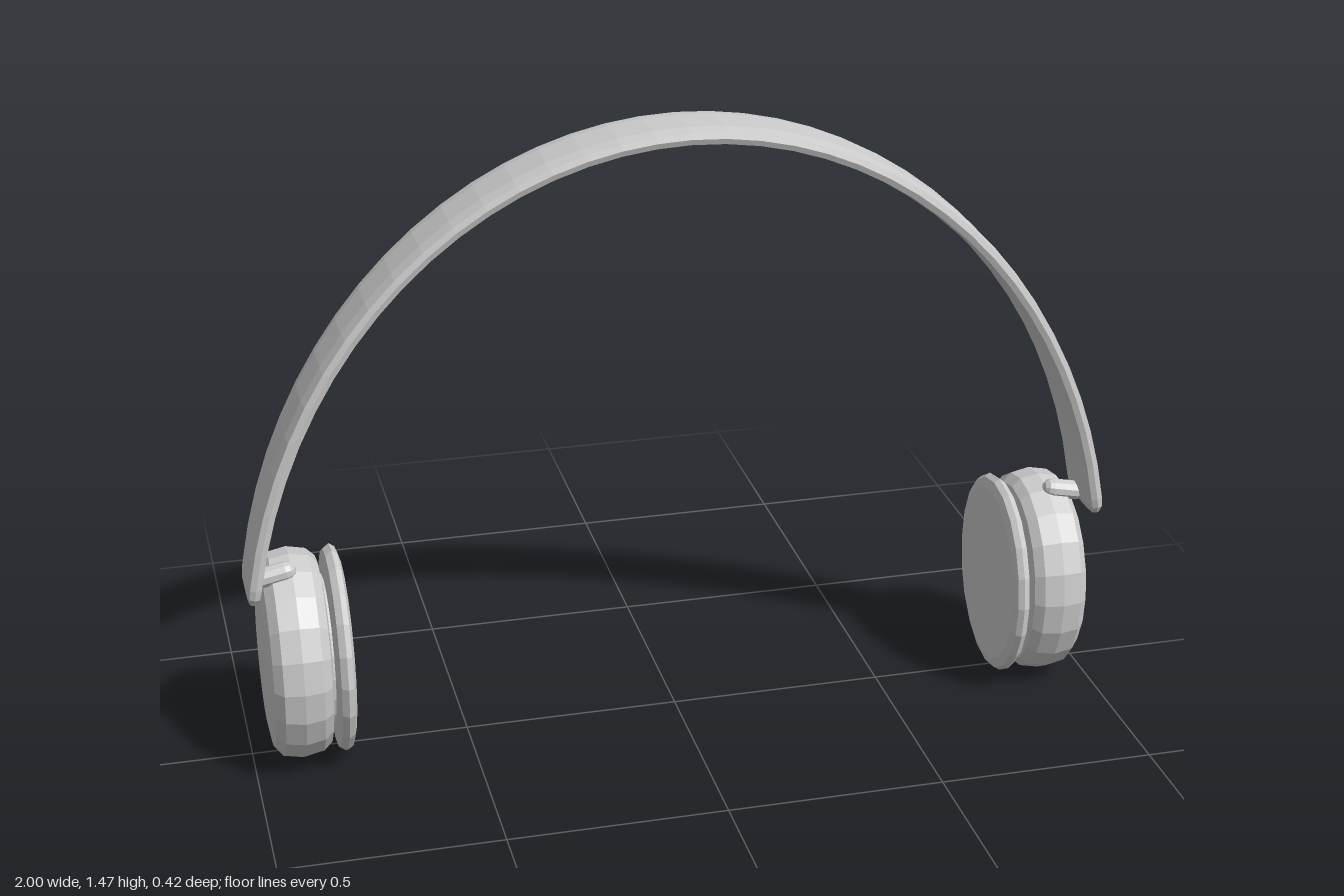
import * as THREE from 'three';

const grey = new THREE.MeshStandardMaterial({ color: 0xcccccc, flatShading: true });
grey.name = 'light grey';

// Headband: a flat rounded section swept along an elliptical arch
function bandGeometry() {
  // [across the band, away from the head]
  const section = [
    [-0.083, 0], [-0.078, 0.013], [-0.045, 0.018], [0.045, 0.018], [0.078, 0.013],
    [0.083, 0], [0.078, -0.013], [0.045, -0.018], [-0.045, -0.018], [-0.078, -0.013],
  ];
  const n = section.length, a = 0.983 / 0.988, b = 1.168, cy = 0.28, cz = 0.075;
  const start = 0.148, end = Math.PI - start, steps = 36;
  const stations = [{ t: start, w: 0.82, h: 0.6 }, { t: start + 0.015, w: 0.96, h: 0.9 }];
  for (let i = 0; i <= steps; i++) {
    stations.push({ t: start + 0.035 + (end - start - 0.07) * i / steps, w: 1, h: 1 });
  }
  stations.push({ t: end - 0.015, w: 0.96, h: 0.9 }, { t: end, w: 0.82, h: 0.6 });

  const pos = [], idx = [];
  for (const { t, w, h } of stations) {
    const out = new THREE.Vector2(Math.cos(t) / a, Math.sin(t) / b).normalize();
    for (const [z, d] of section) {
      pos.push(a * Math.cos(t) + out.x * d * h, cy + b * Math.sin(t) + out.y * d * h, cz + z * w);
    }
  }
  const last = (stations.length - 1) * n;
  for (let i = 0; i < last; i += n) {
    for (let j = 0; j < n; j++) {
      const k = (j + 1) % n;
      idx.push(i + j, i + n + j, i + k, i + k, i + n + j, i + n + k);
    }
  }
  // End caps
  for (let j = 1; j < n - 1; j++) idx.push(0, j, j + 1, last, last + j + 1, last + j);

  const g = new THREE.BufferGeometry();
  g.setAttribute('position', new THREE.Float32BufferAttribute(pos, 3));
  g.setIndex(idx);
  g.computeVertexNormals();
  return g;
}

// Oval disc turned about the x axis; profile is [radius, distance from centre]
function ovalDisc(name, profile, side) {
  const g = new THREE.LatheGeometry(profile.map(([r, x]) => new THREE.Vector2(r, x)), 20);
  g.rotateZ(-side * Math.PI / 2);
  g.scale(1, 1, 0.84);
  g.translate(0, 0.25, 0);
  const mesh = new THREE.Mesh(g, grey);
  mesh.name = name;
  return mesh;
}

export function createModel() {
  const model = new THREE.Group();
  model.name = 'headphones';

  const band = new THREE.Mesh(bandGeometry(), grey);
  band.name = 'headband';
  model.add(band);

  for (const side of [1, -1]) {
    const label = side > 0 ? 'left' : 'right';
    const earpiece = new THREE.Group();
    earpiece.name = label + 'Earpiece';

    // Ear cup with a narrow neck towards the cushion
    earpiece.add(ovalDisc(label + 'Cup', [
      [0, 0.8], [0.17, 0.8], [0.18, 0.82], [0.222, 0.826], [0.241, 0.846],
      [0.25, 0.89], [0.241, 0.935], [0.215, 0.955], [0.17, 0.962], [0, 0.963],
    ], side));

    // Thin ear cushion with a flat inner face
    earpiece.add(ovalDisc(label + 'Cushion', [
      [0, 0.773], [0.215, 0.773], [0.238, 0.78], [0.246, 0.793], [0.235, 0.808], [0.19, 0.815], [0, 0.815],
    ], side));

    // Small hinge peg between band and cup
    const peg = new THREE.Mesh(new THREE.CapsuleGeometry(0.023, 0.06, 3, 10), grey);
    peg.name = label + 'Hinge';
    peg.position.set(side * 0.932, 0.482, 0.06);
    peg.rotation.z = side * (Math.PI / 2 - 0.2);
    earpiece.add(peg);

    model.add(earpiece);
  }
  return model;
}
